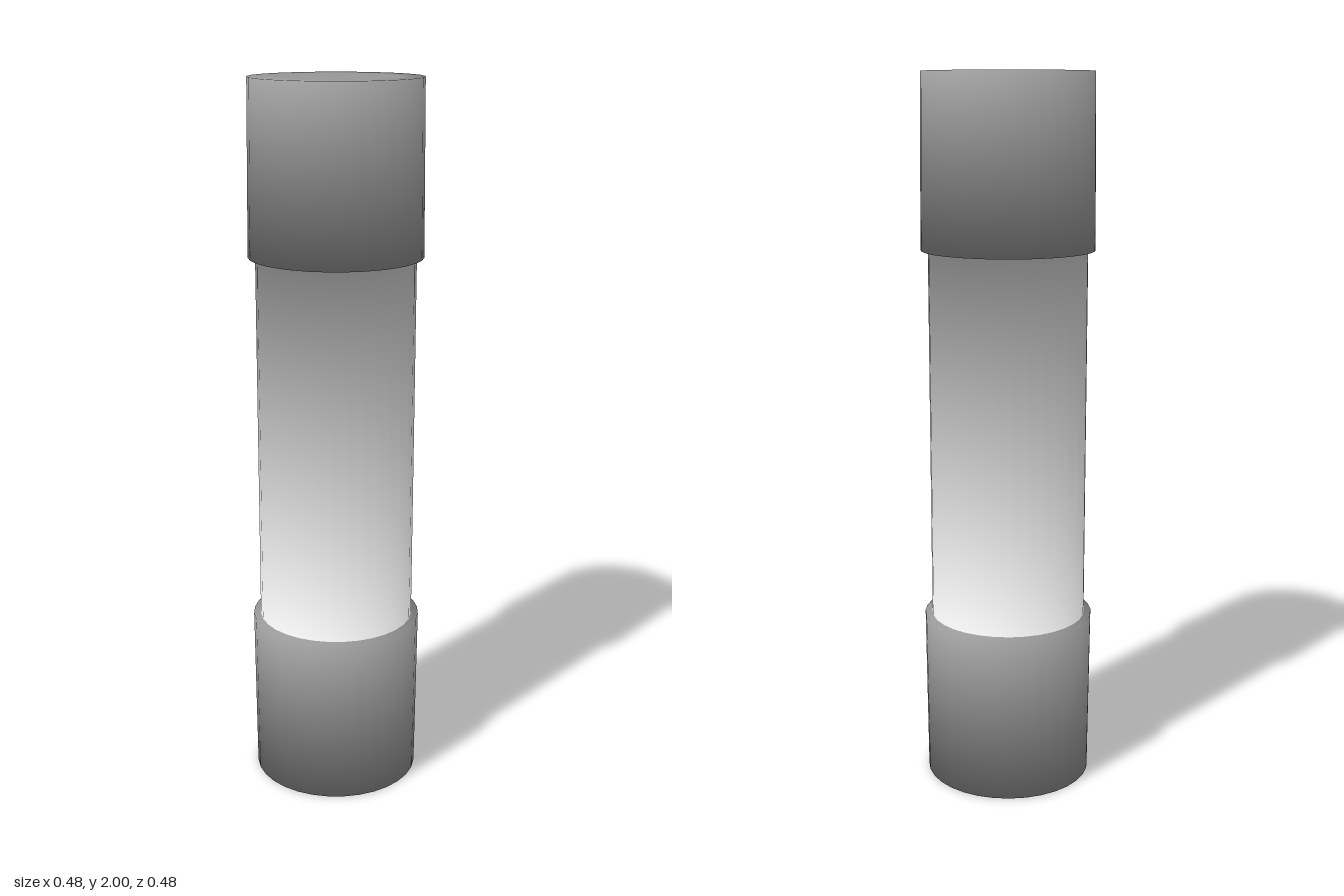
import * as THREE from 'three';

const SIDES = 32;

// One continuous profile from bottom to top: [radius, height]
const PROFILE = [
  [0, 0], [0.165, 0], [0.235, 0], [0.24, 0.48], [0.22, 0.48],
  [0.22, 1.525], [0.24, 1.525], [0.235, 2], [0.165, 2], [0, 2],
];

// Profile normals: even average of the two adjoining segments, smooth over every edge
function profileNormals(points) {
  const segments = points.slice(1).map((p, i) =>
    new THREE.Vector2(p.y - points[i].y, points[i].x - p.x).normalize());
  return points.map((_, i) => {
    const n = new THREE.Vector2();
    if (i > 0) n.add(segments[i - 1]);
    if (i < segments.length) n.add(segments[i]);
    return n.normalize();
  });
}

// Revolves profile points first..last, using the normals of the whole profile
function turnedPart(name, material, points, normals, first, last) {
  const part = points.slice(first, last + 1);
  const geometry = new THREE.LatheGeometry(part, SIDES);
  const normal = geometry.attributes.normal;
  for (let i = 0; i <= SIDES; i++) {
    const angle = (i / SIDES) * Math.PI * 2;
    for (let j = 0; j < part.length; j++) {
      const n = normals[first + j];
      normal.setXYZ(i * part.length + j, n.x * Math.sin(angle), n.y, n.x * Math.cos(angle));
    }
  }
  const mesh = new THREE.Mesh(geometry, material);
  mesh.name = name;
  return mesh;
}

export function createModel() {
  const metal = new THREE.MeshStandardMaterial({ color: 0x999999 });
  metal.name = 'grey metal';
  const glass = new THREE.MeshStandardMaterial({ color: 0xe6e6e6 });
  glass.name = 'pale glass';

  const points = PROFILE.map(([r, y]) => new THREE.Vector2(r, y));
  const normals = profileNormals(points);

  const group = new THREE.Group();
  group.name = 'fuse';
  group.add(
    turnedPart('bottomCap', metal, points, normals, 0, 4),
    turnedPart('glassTube', glass, points, normals, 4, 5),
    turnedPart('topCap', metal, points, normals, 5, 9),
  );
  return group;
}
